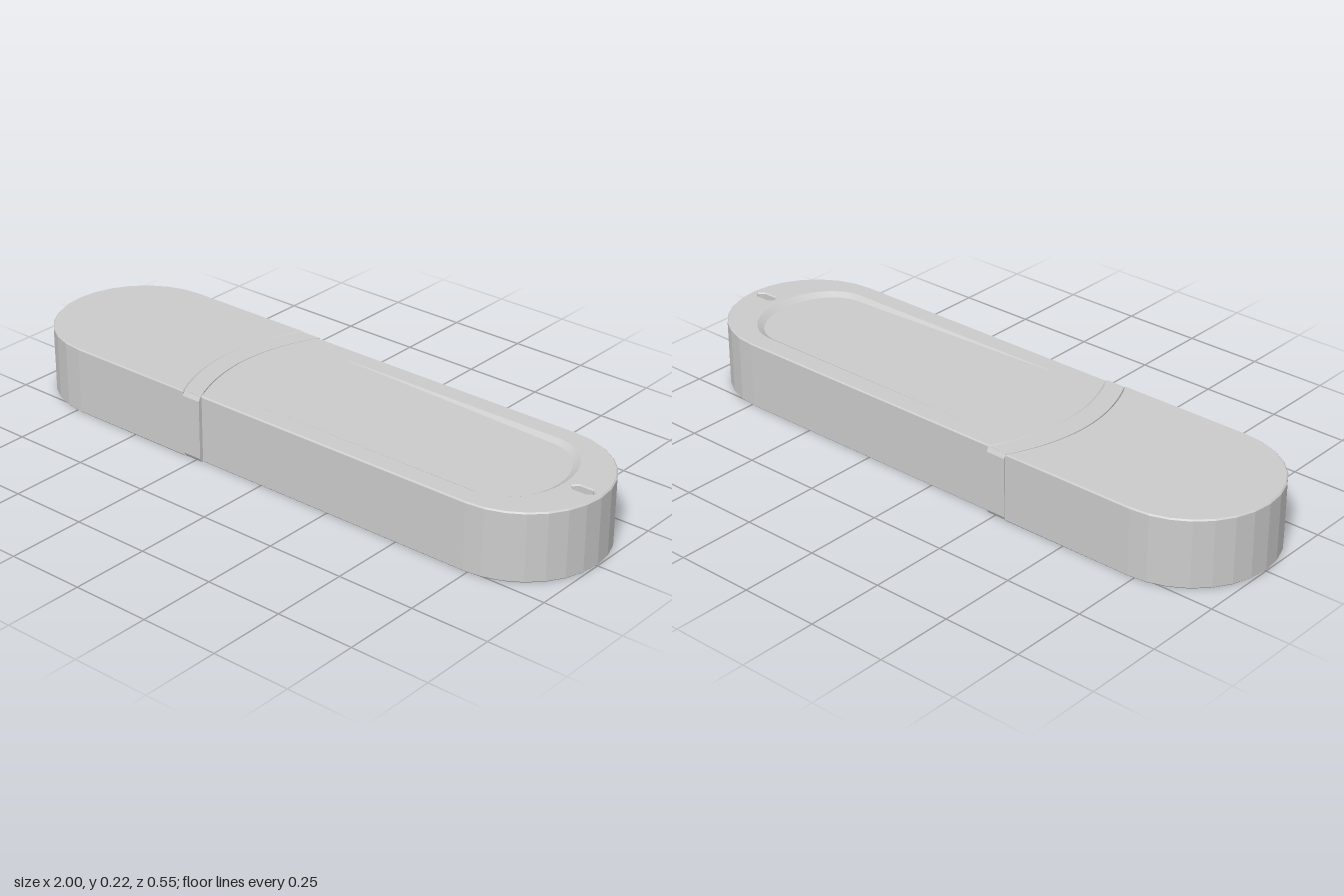
import * as THREE from 'three';

const H = 0.217; // overall height
const BEVEL = 0.004;
const material = new THREE.MeshStandardMaterial({ color: 0xcccccc });
const thin = new THREE.MeshStandardMaterial({ color: 0xcccccc, side: THREE.DoubleSide });

// Half ellipse from -z side to +z side, bulging along dir (+1 or -1)
function endArc(cx, rx, rz, dir, n = 14) {
  return Array.from({ length: n + 1 }, (_, i) => {
    const a = -Math.PI / 2 + (Math.PI * i) / n;
    return new THREE.Vector2(cx + dir * rx * Math.cos(a), rz * Math.sin(a));
  });
}

// Curved joint line, bowed toward the cap, from -half to +half
function joint(shift, half, n = 20) {
  return Array.from({ length: n + 1 }, (_, i) => {
    const z = half * ((2 * i) / n - 1);
    return new THREE.Vector2(-0.36 + shift + 0.07 * (z / 0.27) ** 2, z);
  });
}

// Upright slab with softened rims
function slab(name, points, bevel, y0, y1, holes = []) {
  const shape = new THREE.Shape(points);
  holes.forEach((h) => shape.holes.push(new THREE.Path(h)));
  const geo = new THREE.ExtrudeGeometry(shape, {
    depth: y1 - y0 - 2 * bevel, bevelEnabled: true, bevelSize: bevel,
    bevelThickness: bevel, bevelOffset: -bevel, bevelSegments: 1,
  });
  geo.rotateX(-Math.PI / 2).translate(0, y0 + bevel, 0);
  const mesh = new THREE.Mesh(geo, material);
  mesh.name = name;
  return mesh;
}

// Recess: depth and wall width grow from zero at X0 to the rounded end
const X0 = -0.1, X1 = 0.88, XC = 0.72;
const ramp = (x) => (x - X0) / (X1 - X0);
function recessLoop(inset) {
  const rim = endArc(XC, X1 - XC, 0.2, 1, 16).map((p) => {
    const w = inset(p.x);
    return new THREE.Vector2(
      XC + (p.x - XC) * (1 - w / (X1 - XC)), p.y * (1 - w / 0.2));
  });
  const w0 = inset(X0);
  return [new THREE.Vector2(X0 + w0, -0.2 + w0), ...rim, new THREE.Vector2(X0 + w0, 0.2 - w0)];
}

function recessPanel() {
  const group = new THREE.Group();
  const outer = recessLoop(() => 0);
  const inner = recessLoop((x) => 0.022 * ramp(x));
  const floorY = (x) => H - 0.014 * ramp(x);

  // Sloping floor
  const floor = new THREE.ShapeGeometry(new THREE.Shape(inner));
  floor.rotateX(-Math.PI / 2);
  const p = floor.attributes.position;
  for (let i = 0; i < p.count; i++) p.setY(i, floorY(p.getX(i)));
  floor.computeVertexNormals();
  group.add(new THREE.Mesh(floor, thin));

  // Slanted wall between the rim and the floor
  const pos = [], index = [];
  outer.forEach((o, i) => {
    const q = inner[i];
    pos.push(o.x, H, -o.y, q.x, floorY(q.x), -q.y);
    if (i < outer.length - 1) {
      const a = 2 * i;
      index.push(a, a + 2, a + 1, a + 1, a + 2, a + 3);
    }
  });
  const wall = new THREE.BufferGeometry();
  wall.setAttribute('position', new THREE.Float32BufferAttribute(pos, 3));
  wall.setIndex(index);
  wall.computeVertexNormals();
  group.add(new THREE.Mesh(wall, thin));
  return group;
}

export function createModel() {
  const model = new THREE.Group();
  model.name = 'memoryStick';

  // Cap with one rounded end and a concave joint edge
  const capEnd = endArc(-0.73, 0.27, 0.27, -1).reverse();
  model.add(slab('cap', [...capEnd, ...joint(0, 0.27)], BEVEL, 0, H));

  // Body with a through slot and recess openings
  const half = 0.262;
  const slot = [[0.903, 0], [0.918, -0.015], [0.962, -0.015],
    [0.977, 0], [0.962, 0.015], [0.918, 0.015]].map((v) => new THREE.Vector2(...v));
  const bodyEnd = endArc(0.738, 0.262, half, 1);
  model.add(slab('body', [...bodyEnd, ...joint(0.066, half).reverse()], BEVEL, 0, H,
    [recessLoop(() => BEVEL), slot]));

  // Collar between cap and body
  model.add(slab('collar', [...joint(0.066, half), ...joint(0.001, half).reverse()],
    0.001, 0, H));

  // Recessed panels, top and bottom
  const top = recessPanel();
  top.name = 'topRecess';
  const bottom = recessPanel();
  bottom.name = 'bottomRecess';
  bottom.scale.y = -1;
  bottom.position.y = H;
  model.add(top, bottom);

  // Chamfered tabs on both sides of the collar
  const profile = new THREE.Shape([[0.24, 0.002], [0.267, 0.002], [0.274, 0.014],
    [0.274, H - 0.014], [0.267, H - 0.002], [0.24, H - 0.002]].map((v) => new THREE.Vector2(...v)));
  for (const side of [1, -1]) {
    const geo = new THREE.ExtrudeGeometry(profile, { depth: 0.064, bevelEnabled: false });
    geo.rotateY(-Math.PI / 2).translate(-0.226, 0, 0);
    const tab = new THREE.Mesh(geo, material);
    tab.name = side > 0 ? 'frontTab' : 'backTab';
    tab.scale.z = side;
    model.add(tab);
  }
  return model;
}
